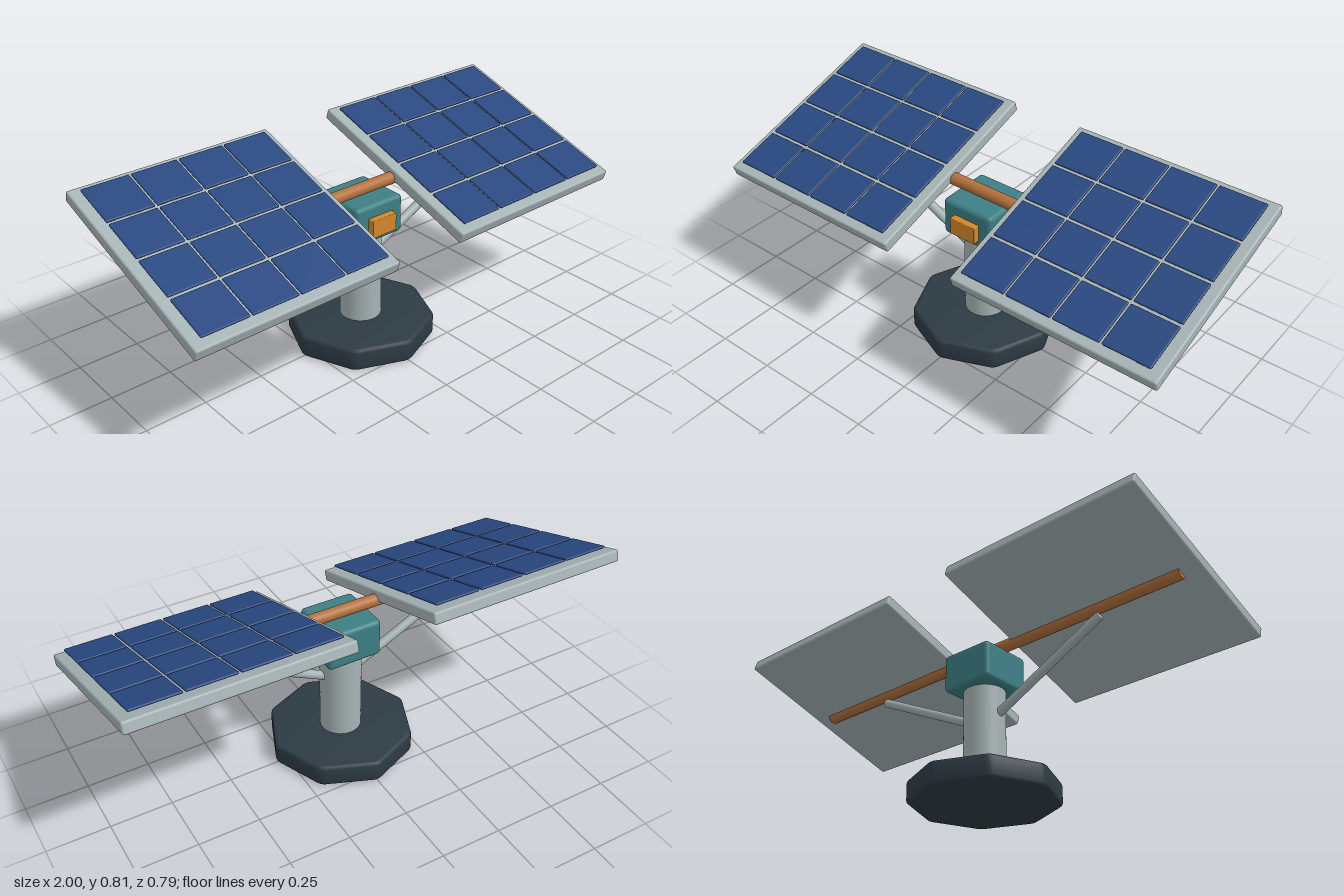
import * as THREE from 'three';
import { toCreasedNormals } from 'three/addons/utils/BufferGeometryUtils.js';
import { RoundedBoxGeometry } from 'three/addons/geometries/RoundedBoxGeometry.js';

function material(name, color) {
  const m = new THREE.MeshStandardMaterial({ color });
  m.name = name;
  return m;
}

function add(parent, name, geometry, mat, x = 0, y = 0, z = 0) {
  const mesh = new THREE.Mesh(geometry, mat);
  mesh.name = name;
  mesh.position.set(x, y, z);
  parent.add(mesh);
  return mesh;
}

// Cylinder running from point a to point b
function rod(parent, name, a, b, radius, mat) {
  const dir = b.clone().sub(a);
  const mesh = add(parent, name, new THREE.CylinderGeometry(radius, radius, dir.length(), 24), mat);
  mesh.position.copy(a).add(b).multiplyScalar(0.5);
  mesh.quaternion.setFromUnitVectors(new THREE.Vector3(0, 1, 0), dir.normalize());
  return mesh;
}

// Octagonal slab with softly rounded corners and rims, a corner on each axis
function octagonSlab(radius, height, bevel) {
  const r = radius - bevel + 0.002;
  const corner = (i) => new THREE.Vector2(Math.sin(i * Math.PI / 4), Math.cos(i * Math.PI / 4)).multiplyScalar(r);
  const shape = new THREE.Shape();
  for (let i = 0; i < 8; i++) {
    const c = corner(i);
    const p = c.clone().lerp(corner(i - 1), 0.07);
    const q = c.clone().lerp(corner(i + 1), 0.07);
    if (i === 0) shape.moveTo(p.x, p.y);
    else shape.lineTo(p.x, p.y);
    shape.quadraticCurveTo(c.x, c.y, q.x, q.y);
  }
  shape.closePath();
  const g = new THREE.ExtrudeGeometry(shape, {
    depth: height - 2 * bevel, bevelEnabled: true, bevelSize: bevel,
    bevelThickness: bevel, bevelSegments: 3, curveSegments: 3,
  });
  g.rotateX(-Math.PI / 2);
  g.translate(0, bevel, 0);
  return toCreasedNormals(g, 0.6);
}

export function createModel() {
  const model = new THREE.Group();
  model.name = 'solarTracker';

  const steel = material('pale steel', 0xa6b3b5);
  const slate = material('dark slate', 0x2d3b43);
  const teal = material('teal', 0x3d7f85);
  const copper = material('copper', 0xb4703c);
  const orange = material('orange', 0xd4882a);
  const blue = material('cell blue', 0x294880);

  // Base and pole
  add(model, 'base', octagonSlab(0.295, 0.093, 0.014), slate);
  add(model, 'pole', new THREE.CylinderGeometry(0.083, 0.083, 0.41, 48), steel, 0, 0.285, 0);

  // Drive housing with control box
  add(model, 'driveHousing', new RoundedBoxGeometry(0.228, 0.158, 0.23, 4, 0.018), teal, 0, 0.544, 0);
  add(model, 'controlBox', new RoundedBoxGeometry(0.116, 0.072, 0.04, 2, 0.003), orange, 0, 0.536, 0.123);

  // Torque tube carrying both panels
  rod(model, 'torqueTube', new THREE.Vector3(-0.92, 0.636, 0), new THREE.Vector3(0.92, 0.636, 0), 0.025, copper);

  // Panels and struts, one per side
  const frameGeometry = new RoundedBoxGeometry(0.846, 0.047, 0.825, 3, 0.008);
  const cellGeometry = new RoundedBoxGeometry(0.188, 0.01, 0.181, 2, 0.0048);
  for (const side of [1, -1]) {
    const label = side > 0 ? 'left' : 'right';
    const panel = new THREE.Group();
    panel.name = label + 'Panel';
    panel.position.set(side * 0.577, 0.655, 0);
    panel.rotation.x = THREE.MathUtils.degToRad(18);
    add(panel, label + 'Frame', frameGeometry, steel);
    for (let col = 0; col < 4; col++) {
      for (let row = 0; row < 4; row++) {
        add(panel, label + 'Cell', cellGeometry, blue,
          (col - 1.5) * 0.196 - side * 0.002, 0.038, (row - 1.5) * 0.193);
      }
    }
    model.add(panel);

    rod(model, label + 'Strut', new THREE.Vector3(side * 0.05, 0.346, 0),
      new THREE.Vector3(side * 0.565, 0.6, 0), 0.018, steel);
  }
  return model;
}
